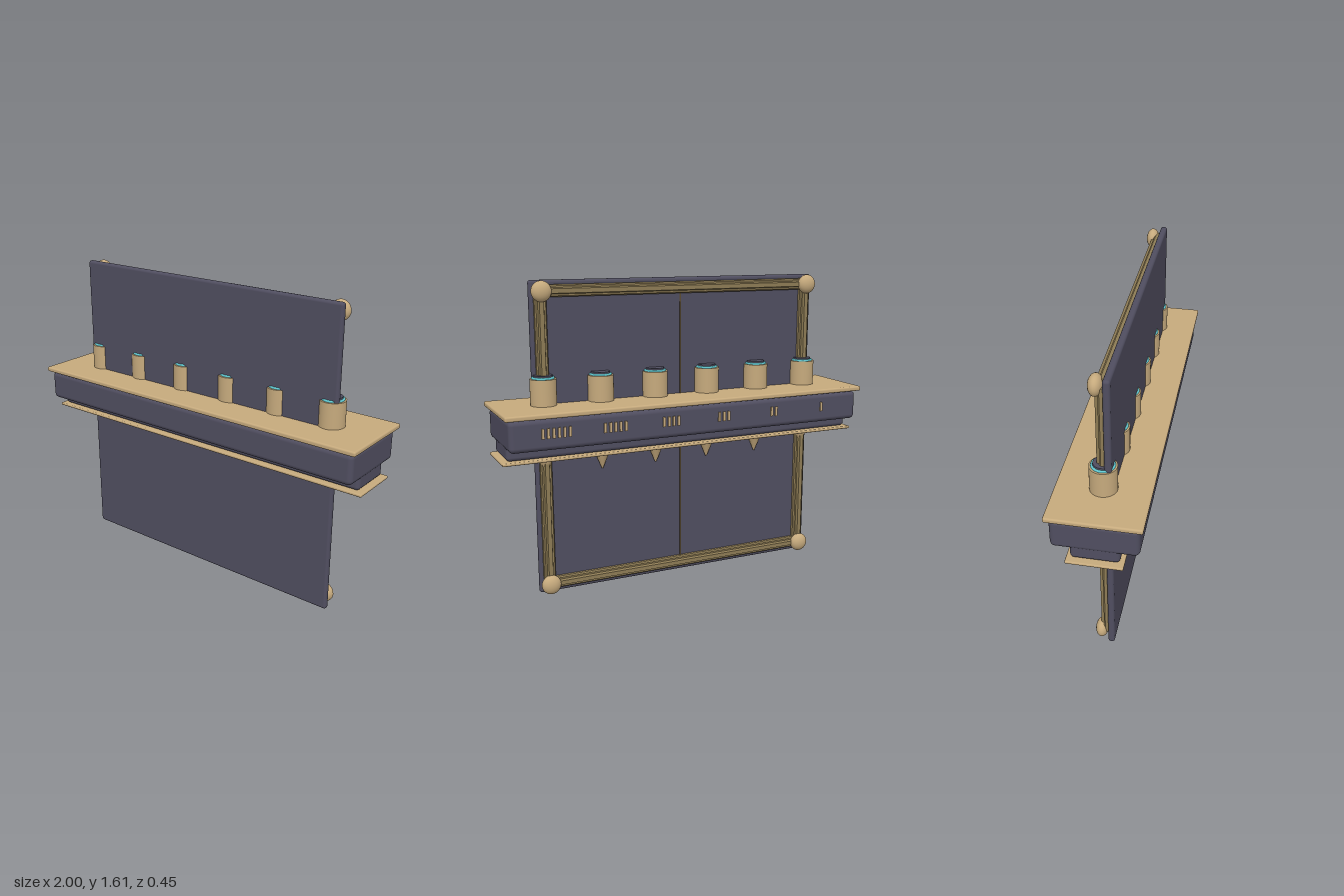
import * as THREE from 'three';
import { RoundedBoxGeometry } from 'three/addons/geometries/RoundedBoxGeometry.js';

const mat = (name, color) => {
  const m = new THREE.MeshStandardMaterial({ color });
  m.name = name;
  return m;
};

export function createModel() {
  const slate = mat('slate', 0x504e60);
  const tan = mat('tan', 0xc6aa7d);
  const bronze = mat('bronze', 0x8e7c55);
  const seamBrown = mat('seamBrown', 0x5c4c32);
  const cyan = mat('cyan', 0x62c8d0);

  const root = new THREE.Group();
  const add = (name, geometry, material, x, y, z, parent = root) => {
    const mesh = new THREE.Mesh(geometry, material);
    mesh.name = name;
    mesh.position.set(x, y, z);
    parent.add(mesh);
    return mesh;
  };
  // rounded box given by its size and the y and z ranges
  const slab = (name, material, width, y0, y1, z0, z1, radius) =>
    add(name, new RoundedBoxGeometry(width, y1 - y0, z1 - z0, 3, radius), material,
      0, (y0 + y1) / 2, (z0 + z1) / 2);

  // upright panel
  slab('panel', slate, 1.6, 0, 1.607, 0.013, 0.047, 0.014);
  add('panelSeam', new THREE.BoxGeometry(0.008, 1.5, 0.006), seamBrown, 0, 0.805, 0.011);

  // horizontal beam with its cover plates
  slab('beamUpper', slate, 1.96, 0.813, 0.97, -0.206, 0.206, 0.025);
  slab('beamLower', slate, 1.95, 0.755, 0.84, -0.116, 0.116, 0.02);
  slab('topPlate', tan, 2, 0.972, 0.998, -0.224, 0.224, 0.009);
  slab('bottomPlate', tan, 2, 0.739, 0.754, -0.135, 0.135, 0.006);

  // moulded frame behind the panel: stepped profile, flat side to the panel
  const half = [[0.03, 0.014], [0.03, -0.004], [0.024, -0.012], [0.016, -0.012], [0.011, -0.027]];
  const profile = new THREE.Shape(
    [...half, ...half.map(([x, z]) => [-x, z]).reverse()].map(([x, z]) => new THREE.Vector2(x, z)));
  const bar = new THREE.ExtrudeGeometry(profile, { depth: 1.5, bevelEnabled: false });
  bar.translate(0, 0, -0.75);
  bar.rotateX(Math.PI / 2); // run along y
  bar.rotateY(Math.PI); // put the rib on the back side
  bar.computeBoundingBox();
  if (bar.boundingBox.min.z < -0.02 === false) bar.rotateY(Math.PI);

  const frame = new THREE.Group();
  frame.name = 'frame';
  root.add(frame);
  const knob = new THREE.SphereGeometry(0.051, 24, 16).scale(1, 1, 0.65);
  for (const s of [-1, 1]) {
    add('framePost', bar, bronze, s * 0.75, 0.805, 0, frame);
    add('frameRail', bar, bronze, 0, 0.805 + s * 0.75, 0, frame).rotation.z = Math.PI / 2;
    for (const t of [-1, 1]) add('cornerKnob', knob, tan, s * 0.75, 0.805 + t * 0.75, -0.025, frame);
  }

  // row of posts with glowing rings, drop finials and counting marks
  const post = new THREE.CylinderGeometry(0.066, 0.066, 0.135, 32);
  const ring = new THREE.TorusGeometry(0.051, 0.007, 8, 32).rotateX(Math.PI / 2);
  const cap = new THREE.CylinderGeometry(0.047, 0.05, 0.018, 32);
  const finial = new THREE.CylinderGeometry(0.044, 0.004, 0.1, 24);
  const mark = new THREE.BoxGeometry(0.013, 0.05, 0.01);
  for (let i = 0; i < 6; i++) {
    const x = -0.75 + i * 0.3;
    const unit = new THREE.Group();
    unit.name = 'station';
    unit.position.x = x;
    root.add(unit);
    add('post', post, tan, 0, 1.0625, 0, unit);
    add('ring', ring, cyan, 0, 1.133, 0, unit);
    add('cap', cap, slate, 0, 1.138, 0, unit);
    add('finial', finial, tan, 0, 0.69, 0, unit);
    for (let k = 0; k <= i; k++) add('mark', mark, tan, (k - i / 2) * 0.027, 0.9, -0.209, unit);
  }
  return root;
}
